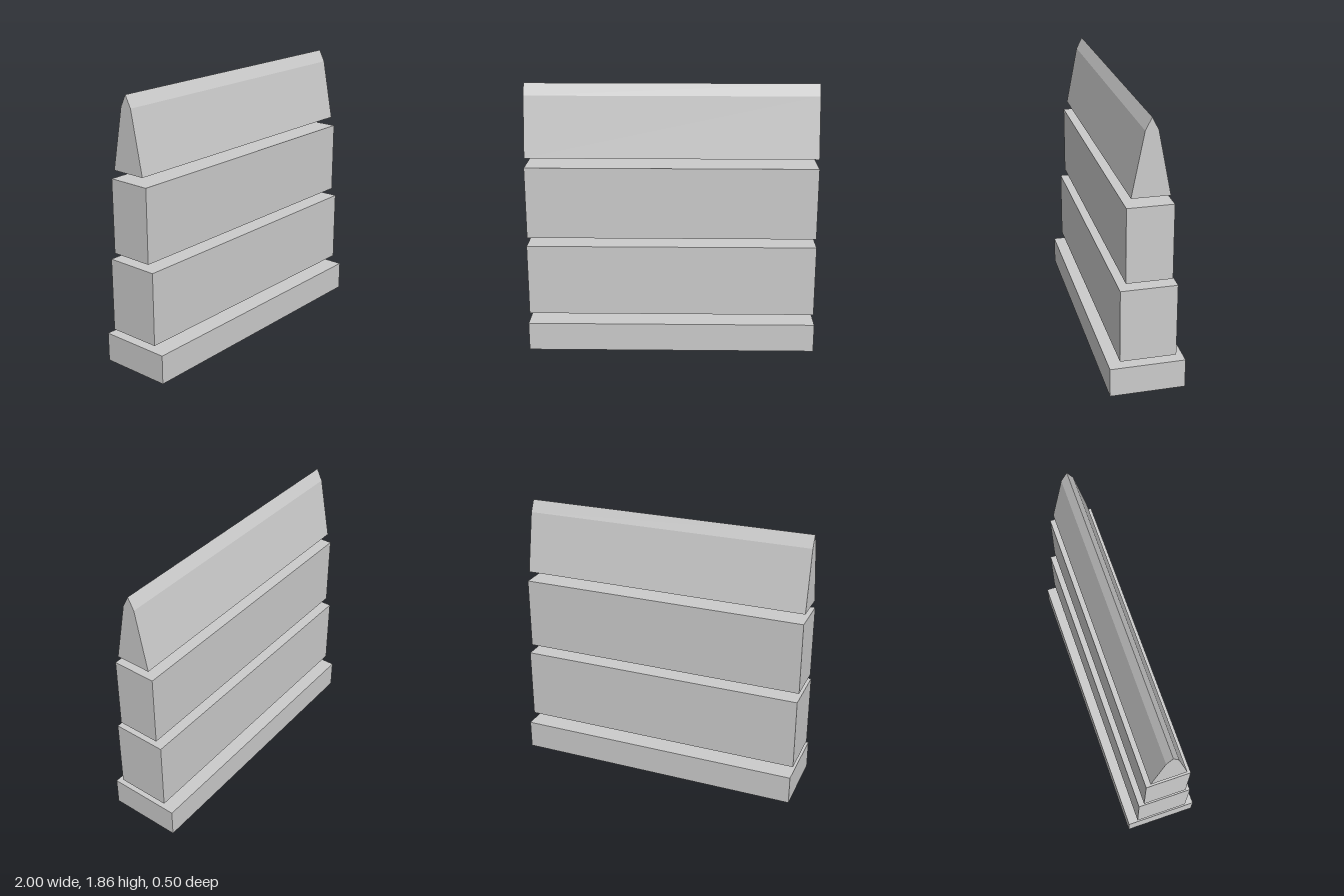
import * as THREE from 'three';

const LENGTH = 2;

export function createModel() {
  const model = new THREE.Group();
  model.name = 'steppedWall';
  const material = new THREE.MeshStandardMaterial({ color: 0xcccccc, flatShading: true });

  // Stacked rectangular courses: name, bottom, top, depth
  const courses = [
    ['baseSlab', 0, 0.2, 0.5],
    ['lowerBlock', 0.25, 0.75, 0.37],
    ['upperBlock', 0.8, 1.3, 0.3],
  ];
  for (const [name, bottom, top, depth] of courses) {
    const block = new THREE.Mesh(new THREE.BoxGeometry(LENGTH, top - bottom, depth), material);
    block.position.y = (bottom + top) / 2;
    block.name = name;
    model.add(block);
  }

  // Tapered cap with a steeper ridge, extruded along x
  const profile = [[-0.123, 0], [0.123, 0], [0.041, 0.415], [0, 0.495], [-0.041, 0.415]];
  const shape = new THREE.Shape(profile.map(([z, y]) => new THREE.Vector2(z, y)));
  const capGeometry = new THREE.ExtrudeGeometry(shape, { depth: LENGTH, bevelEnabled: false });
  capGeometry.translate(0, 0, -LENGTH / 2).rotateY(Math.PI / 2);
  const cap = new THREE.Mesh(capGeometry, material);
  cap.position.y = 1.36;
  cap.name = 'ridgeCap';
  model.add(cap);

  return model;
}
